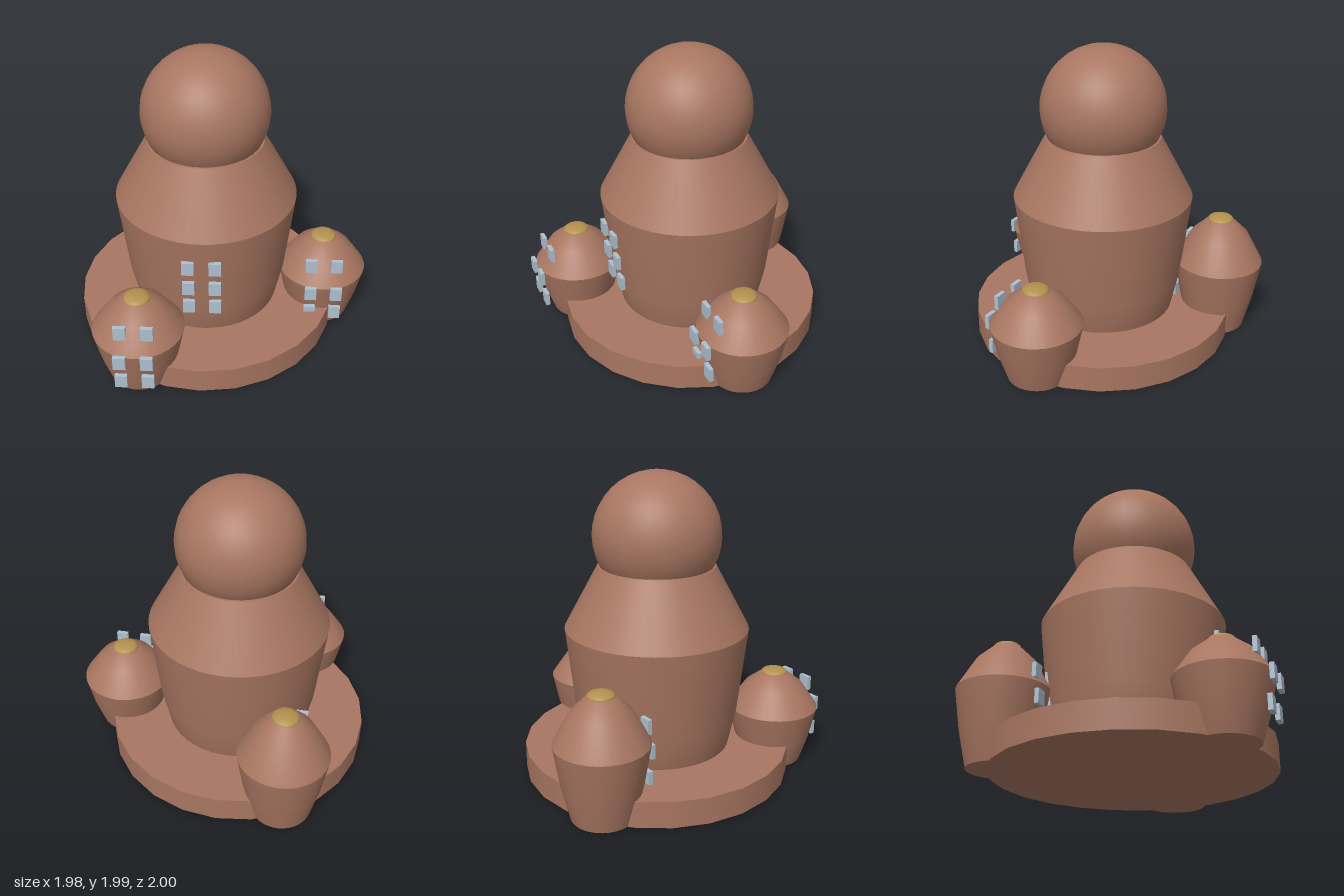
import * as THREE from 'three';

const clay = new THREE.MeshStandardMaterial({ color: 0xa87661 });
clay.name = 'clay';
const brass = new THREE.MeshStandardMaterial({ color: 0xb3914e });
brass.name = 'brass';
const glass = new THREE.MeshStandardMaterial({ color: 0xadc0cf });
glass.name = 'paleGlass';

function add(parent, name, geometry, material, x = 0, y = 0, z = 0) {
  const mesh = new THREE.Mesh(geometry, material);
  mesh.name = name;
  mesh.position.set(x, y, z);
  parent.add(mesh);
  return mesh;
}

// Smooth surface of revolution through [radius, height] points, bottom to top
function lathe(points, segments = 32) {
  return new THREE.LatheGeometry(points.map(([r, y]) => new THREE.Vector2(r, y)), segments);
}

// Two columns of window boxes; each row is [height, distance from tower axis]
function addWindows(parent, rows) {
  for (const [y, z] of rows) {
    for (const x of [-0.085, 0.085]) {
      add(parent, 'window', new THREE.BoxGeometry(0.078, 0.095, 0.028), glass, x, y, z);
    }
  }
}

// Small domed tower; stretch scales only its heights
function addTower(parent, name, x, z, stretch, rows) {
  const tower = new THREE.Group();
  tower.name = name;
  tower.position.set(x, 0, z);
  parent.add(tower);
  const h = (points) => points.map(([r, y]) => [r, y * stretch]);

  add(tower, 'towerWall', lathe(h([[0.2, 0], [0.255, 0.18], [0.298, 0.38]])), clay);
  add(tower, 'towerRoof', lathe(h([[0.298, 0.38], [0.19, 0.535], [0.085, 0.615], [0, 0.625]])), clay);
  add(tower, 'towerFloor', new THREE.CircleGeometry(0.2, 32).rotateX(Math.PI / 2), clay);
  const cap = add(tower, 'roofCap', new THREE.SphereGeometry(0.086, 24, 12), brass, 0, 0.615 * stretch, 0);
  cap.scale.y = 0.36;
  addWindows(tower, rows);
}

export function createModel() {
  const model = new THREE.Group();
  model.name = 'domedBuilding';

  // Round platform and main tower share one axis
  const main = new THREE.Group();
  main.name = 'mainTower';
  main.position.set(-0.11, 0, -0.005);
  model.add(main);
  add(main, 'platform', new THREE.CylinderGeometry(0.883, 0.883, 0.175, 24), clay, 0, 0.0875, 0);
  add(main, 'mainWall', lathe([[0.43, 0.01], [0.487, 0.175], [0.535, 0.4], [0.6, 0.975]], 48), clay);
  add(main, 'mainShoulder', lathe([[0.6, 0.975], [0.38, 1.385]], 48), clay);
  add(main, 'shoulderTop', new THREE.CircleGeometry(0.38, 48).rotateX(-Math.PI / 2), clay, 0, 1.385, 0);
  add(main, 'topDome', new THREE.SphereGeometry(0.413, 32, 20), clay, 0, 1.574, 0);
  addWindows(main, [[0.775, 0.588], [0.6, 0.572], [0.43, 0.55]]);

  // Three small towers around the platform
  const rows = [[0.515, 0.216], [0.345, 0.3], [0.17, 0.28]];
  addTower(model, 'frontTower', -0.51, 0.688, 1, rows);
  addTower(model, 'sideTower', 0.69, -0.005, 1, rows);
  addTower(model, 'backTower', -0.51, -0.7, 1.285, [[0.56, 0.262], [0.39, 0.288], [0.215, 0.27]]);

  return model;
}
